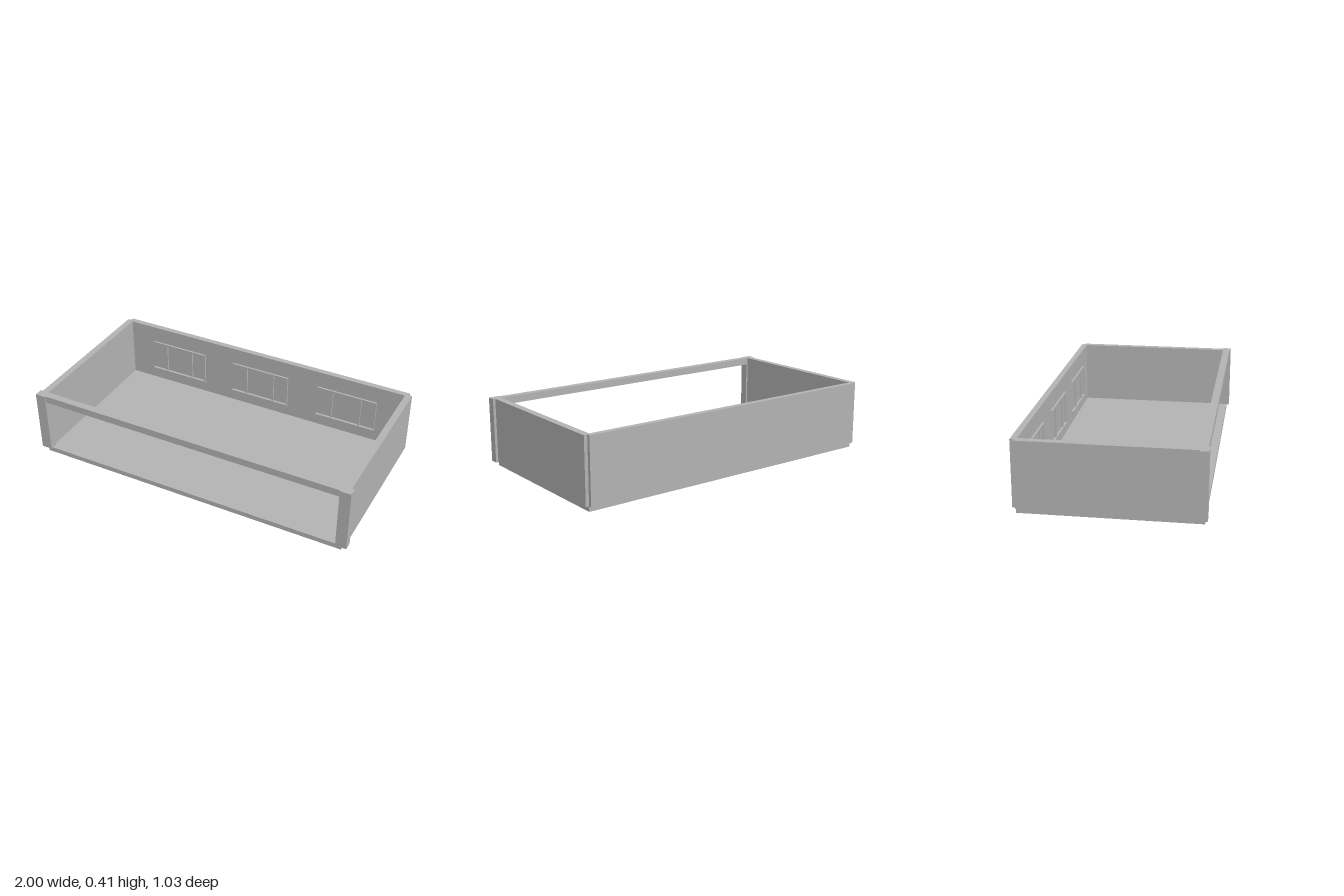
import * as THREE from 'three';

export function createModel() {
  const model = new THREE.Group();
  model.name = 'openFrontStorey';
  const grey = new THREE.MeshStandardMaterial({ color: 0xb2b2b2 });
  grey.name = 'plain grey';

  // Box given by its lower and upper limits on each axis
  function block(name, [x0, x1], [y0, y1], [z0, z1], parent = model) {
    const mesh = new THREE.Mesh(new THREE.BoxGeometry(x1 - x0, y1 - y0, z1 - z0), grey);
    mesh.name = name;
    mesh.position.set((x0 + x1) / 2, (y0 + y1) / 2, (z0 + z1) / 2);
    parent.add(mesh);
    return mesh;
  }

  const bottom = 0.03, top = 0.413;

  // Floor slab, set in slightly from the walls
  block('floorSlab', [-0.965, 0.965], [0, bottom], [-0.495, 0.5]);

  // Back wall, a little proud of the side walls
  block('backWall', [-0.965, 0.965], [bottom, top], [-0.515, -0.48]);

  // Side walls and front corner pillars, mirrored
  for (const side of [-1, 1]) {
    const span = (a, b) => [Math.min(side * a, side * b), Math.max(side * a, side * b)];
    const label = side > 0 ? 'left' : 'right';
    block(label + 'Wall', span(0.945, 0.985), [bottom, top], [-0.495, 0.47]);
    block(label + 'Pillar', span(0.935, 1), [bottom, top], [0.465, 0.515]);
  }

  // Beam over the open front
  block('frontBeam', [-0.936, 0.936], [0.37, top], [0.465, 0.508]);

  // Three window trims on the inside of the back wall
  for (const x of [-0.588, 0, 0.588]) {
    const trim = new THREE.Group();
    trim.name = 'windowTrim';
    trim.position.x = x;
    model.add(trim);
    block('headBar', [-0.193, 0.193], [0.3, 0.309], [-0.482, -0.468], trim);
    block('sillBar', [-0.195, 0.195], [0.102, 0.111], [-0.482, -0.464], trim);
    for (const bar of [-0.093, 0.093, 0.189])
      block('uprightBar', [bar - 0.004, bar + 0.004], [0.108, 0.303], [-0.482, -0.469], trim);
  }
  return model;
}
